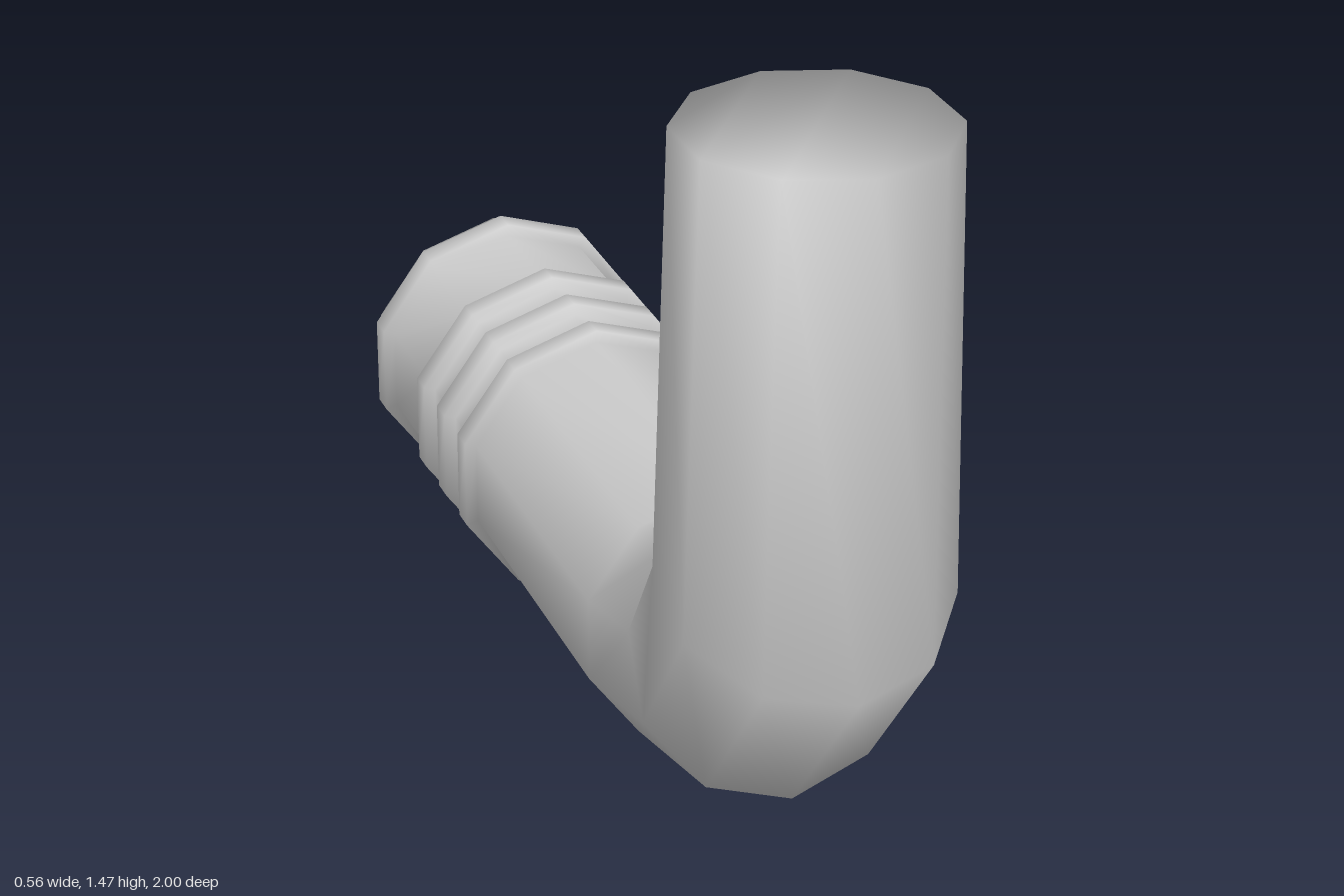
import * as THREE from 'three';

const SIDES = 10;

// Rows of the pipe: [outer z, outer y, inner z, inner y, half width scale]
function pipeSections() {
  const rows = [
    [1.0, 1.467, 0.5, 1.467, 0.25],
    [0.985, 0.475, 0.495, 0.718, 0.273],
    [0.695, 0.115, 0.455, 0.602, 0.272],
    [0.32, 0.026, 0.32, 0.568, 0.271],
  ];
  const axis = 0.297, r = 0.271, ringR = 0.296;
  const straight = (z, rad) => rows.push([z, axis - rad, z, axis + rad, rad]);
  // Raised sealing rings on the horizontal arm
  for (const [z0, z1] of [[-0.345, -0.395], [-0.48, -0.53], [-0.617, -0.665], [-0.9, -0.952]]) {
    straight(z0, r);
    straight(z0, ringR);
    straight(z1, ringR);
    straight(z1, r);
  }
  straight(-1, r);
  return rows;
}

// Skin the sections into one closed surface with shared, smooth normals
function loft(rows) {
  const pos = [], index = [];
  for (const [oz, oy, iz, iy, w] of rows) {
    for (let i = 0; i < SIDES; i++) {
      const t = (i / SIDES) * Math.PI * 2, c = Math.cos(t) / 2;
      pos.push(w * Math.sin(t), (oy + iy) / 2 + (oy - iy) * c, (oz + iz) / 2 + (oz - iz) * c);
    }
  }
  for (let k = 0; k < rows.length - 1; k++) {
    for (let i = 0; i < SIDES; i++) {
      const j = (i + 1) % SIDES;
      const a = k * SIDES + i, b = k * SIDES + j;
      index.push(a, a + SIDES, b + SIDES, a, b + SIDES, b);
    }
  }
  // End caps, filled in strips across the section
  const order = [1, 2, 0, 3, 9, 4, 8, 5, 7, 6];
  const last = (rows.length - 1) * SIDES;
  for (let i = 0; i < SIDES - 2; i++) {
    const [a, b, c] = order.slice(i, i + 3).sort((p, q) => p - q);
    index.push(a, b, c, last + a, last + c, last + b);
  }
  const geo = new THREE.BufferGeometry();
  geo.setAttribute('position', new THREE.Float32BufferAttribute(pos, 3));
  geo.setIndex(index);
  geo.computeVertexNormals();
  return geo;
}

export function createModel() {
  const group = new THREE.Group();
  group.name = 'pipeElbow';
  const pipe = new THREE.Mesh(
    loft(pipeSections()),
    new THREE.MeshStandardMaterial({ color: 0xcccccc })
  );
  pipe.name = 'ringedElbowPipe';
  group.add(pipe);
  return group;
}
